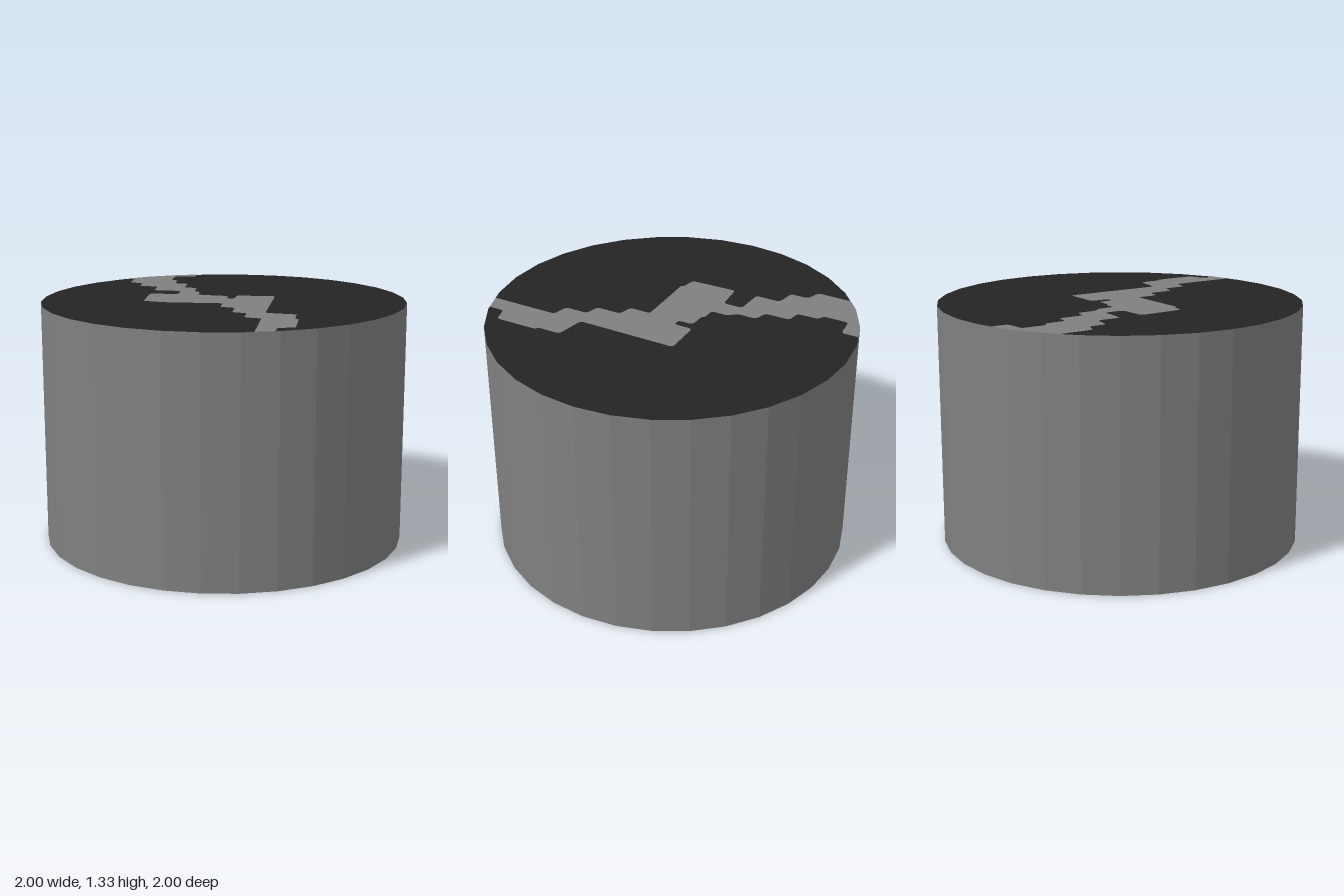
import * as THREE from 'three';

const HEIGHT = 1.333, LIFT = 0.002;

// Stripe outlines as [x, z] corners
const TOP_STRIPE = [
  [-0.28, -0.955], [-0.28, -0.86], [-0.4, -0.85], [-0.4, -0.71], [-0.36, -0.69], [-0.36, -0.575],
  [-0.28, -0.56], [-0.28, -0.42], [-0.205, -0.4], [-0.205, -0.29], [-0.165, -0.25], [-0.165, -0.155],
  [-0.09, -0.15], [-0.09, -0.135], [0.01, -0.13], [0.01, -0.045], [0.055, -0.045], [0.055, -0.15],
  [0.27, -0.15], [0.265, 0.41], [0.43, 0.44], [0.43, 0.57], [0.45, 0.58], [0.45, 0.82],
  [0.36, 0.84], [0.36, 0.93], [0.26, 0.96], [0.26, 0.58], [0.17, 0.56], [0.17, 0.43],
  [0.09, 0.41], [0.09, 0.27], [0.01, 0.25], [0.01, 0.13], [-0.35, 0.13], [-0.35, 0.115],
  [-0.43, 0.1], [-0.44, -0.16], [-0.28, -0.17], [-0.28, -0.28], [-0.44, -0.29], [-0.44, -0.43],
  [-0.55, -0.45], [-0.55, -0.55], [-0.63, -0.58], [-0.63, -0.77], [-0.556, -0.831], [-0.383, -0.924],
];
const BOTTOM_STRIPE = [
  [0.475, 0.57], [0.5, 0.48], [0.46, 0.4], [0.4, 0.3], [0.37, 0.135], [0.337, -0.143], [0.2, -0.13],
  [0.035, -0.12], [-0.066, -0.14], [-0.09, -0.25], [-0.15, -0.34], [-0.17, -0.5], [-0.23, -0.585],
  [-0.24, -0.735], [-0.29, -0.83], [-0.355, -0.8], [-0.405, -0.69], [-0.325, -0.56], [-0.3, -0.43],
  [-0.26, -0.28], [-0.17, -0.185], [-0.23, -0.1], [-0.253, 0.01], [-0.22, 0.13], [-0.075, 0.153],
  [-0.01, 0.085], [0.07, 0.115], [0.1, 0.18], [0.195, 0.215], [0.295, 0.3], [0.33, 0.42],
  [0.37, 0.53], [0.42, 0.593],
];

// Closed shape with small rounded corners; corners on the rim stay sharp
function roundedShape(outline, zSign, radius = 0.02) {
  const pts = outline.map(([x, z]) => new THREE.Vector2(x, zSign * z));
  const shape = new THREE.Shape();
  pts.forEach((p, i) => {
    const prev = pts[(i + pts.length - 1) % pts.length];
    const next = pts[(i + 1) % pts.length];
    const toward = (q) => p.clone().lerp(q, Math.min(0.45, radius / p.distanceTo(q)));
    const a = toward(prev), b = toward(next);
    const sharp = p.length() > 0.98;
    const start = sharp ? p : a;
    if (i === 0) shape.moveTo(start.x, start.y);
    else shape.lineTo(start.x, start.y);
    if (!sharp) shape.quadraticCurveTo(p.x, p.y, b.x, b.y);
  });
  shape.closePath();
  return shape;
}

export function createModel() {
  const model = new THREE.Group();
  const grey = new THREE.MeshStandardMaterial({ color: 0x808080 });
  grey.name = 'stoneGrey';
  const dark = new THREE.MeshStandardMaterial({ color: 0x242424 });
  dark.name = 'charcoal';

  const add = (name, geometry, material, y) => {
    const mesh = new THREE.Mesh(geometry, material);
    mesh.name = name;
    mesh.position.y = y;
    model.add(mesh);
  };

  // Faceted wall
  const wall = new THREE.CylinderGeometry(1, 1, HEIGHT, 32, 1, true).toNonIndexed();
  wall.computeVertexNormals();
  add('wall', wall, grey, HEIGHT / 2);

  // Dark end caps
  const cap = (turn) => new THREE.CircleGeometry(1, 32).rotateX(turn * Math.PI / 2);
  add('topCap', cap(-1), dark, HEIGHT - LIFT);
  add('bottomCap', cap(1), dark, LIFT);

  // Jagged stripes laid on the caps
  const stripe = (outline, turn) =>
    new THREE.ShapeGeometry(roundedShape(outline, turn), 3).rotateX(turn * Math.PI / 2);
  add('topStripe', stripe(TOP_STRIPE, -1), grey, HEIGHT);
  add('bottomStripe', stripe(BOTTOM_STRIPE, 1), grey, 0);

  return model;
}
